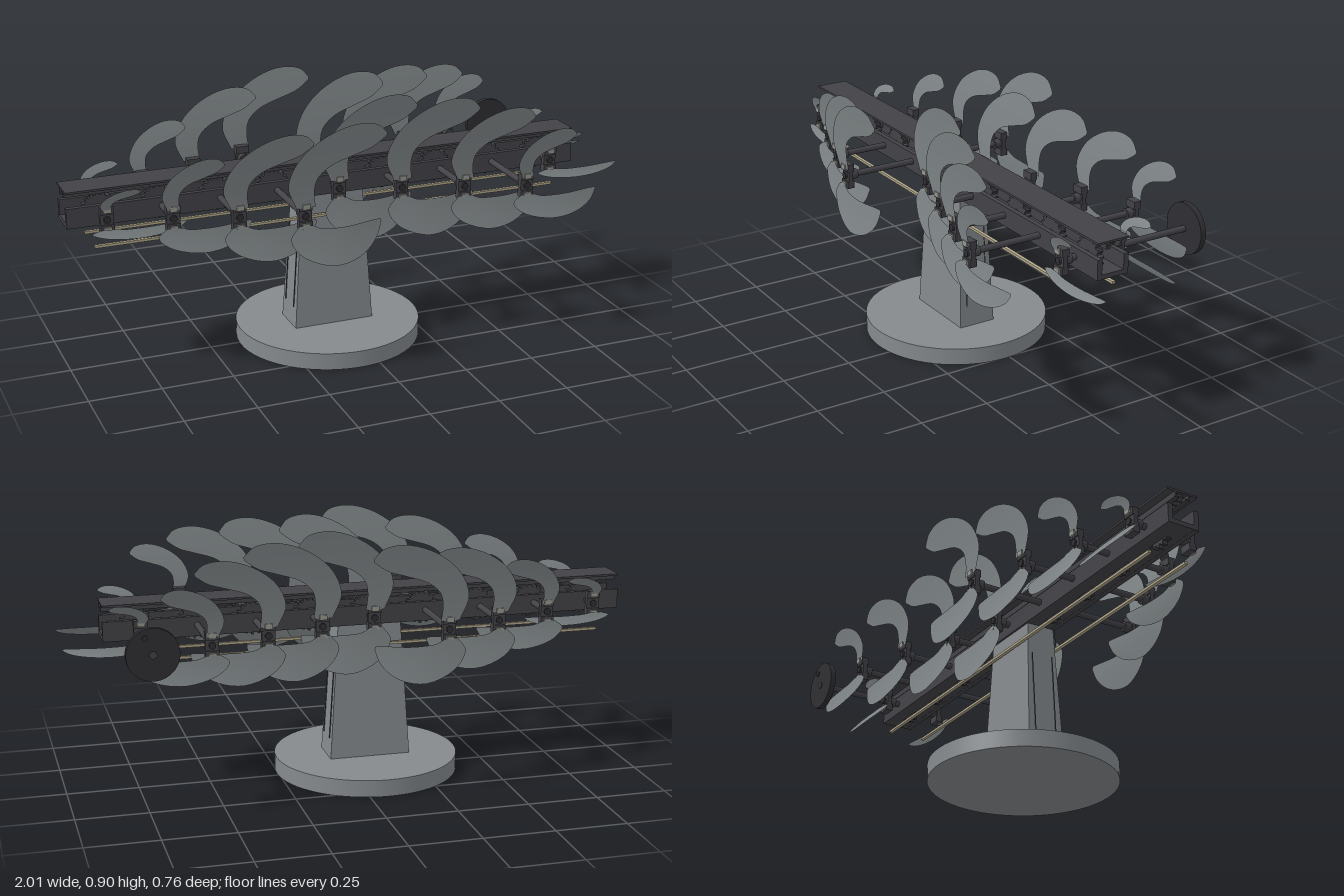
import * as THREE from 'three';

const mat = (name, color, extra = {}) => Object.assign(new THREE.MeshStandardMaterial({ color, ...extra }), { name });

export function createModel() {
  const grey = mat('standGrey', 0x858a8d);
  const fin = mat('bladeGrey', 0x7f8587, { side: THREE.DoubleSide });
  const dark = mat('frameDark', 0x434247);
  const black = mat('wheelBlack', 0x2f2f33);
  const brass = mat('rodBeige', 0xb0a68a);
  const clip = mat('clipGrey', 0x96978f);

  const root = new THREE.Group();
  root.name = 'kineticFinMachine';
  const ZC = 0.02, AXIS = 0.58; // centre plane and shaft height

  const add = (name, geo, material, x, y, z, parent = root) => {
    const m = new THREE.Mesh(geo, material);
    m.name = name;
    m.position.set(x, y, z);
    parent.add(m);
    return m;
  };
  const box = (name, m, w, h, d, x, y, z, parent) => add(name, new THREE.BoxGeometry(w, h, d), m, x, y, z, parent);
  const rod = (name, m, r, len, x, y, z, parent) =>
    add(name, new THREE.CylinderGeometry(r, r, len, r > 0.05 ? 48 : 14).rotateX(Math.PI / 2), m, x, y, z, parent);

  // Round foot
  add('base', new THREE.CylinderGeometry(0.326, 0.326, 0.06, 64), grey, -0.07, 0.03, ZC);

  // Tapered column
  const col = new THREE.BoxGeometry(0.29, 0.49, 0.138);
  const cp = col.attributes.position;
  for (let i = 0; i < cp.count; i++)
    if (cp.getY(i) > 0) { cp.setX(i, cp.getX(i) * 0.78); cp.setZ(i, cp.getZ(i) * 0.75); }
  col.computeVertexNormals();
  add('column', col, grey, -0.07, 0.3, ZC);
  for (const s of [-1, 1]) { // narrow seams on the column's ends
    for (const e of [-1, 1]) {
      const seam = box('columnSeam', dark, 0.003, 0.3, 0.002, -0.07 + e * 0.1325, 0.28, ZC + s * 0.04);
      seam.rotation.z = e * 0.065;
    }
  }

  // Channel beam: floor and two rails
  const L = 1.86, CX = -0.07;
  box('beamFloor', dark, L, 0.016, 0.1, CX, 0.55, ZC);
  for (const s of [-1, 1]) {
    box('beamRail', dark, L, 0.069, 0.018, CX, 0.576, ZC + s * 0.05);
    box('slideRod', brass, 1.69, 0.009, 0.012, -0.07, 0.473, ZC + s * 0.07);
  }

  // Sliding top plate with guides and toothed rack
  box('topPlate', dark, L, 0.007, 0.118, CX, 0.6635, ZC);
  for (const s of [-1, 1]) {
    box('rackGuide', dark, L, 0.02, 0.006, CX, 0.65, ZC + s * 0.026);
    box('rackGuideLip', dark, L, 0.005, 0.014, CX, 0.642, ZC + s * 0.02);
  }
  const rack = new THREE.Shape();
  const teeth = 74, pitch = 1.84 / teeth;
  rack.moveTo(-0.92, 0.02);
  for (let i = 0; i < teeth; i++) {
    const x = -0.92 + i * pitch;
    rack.lineTo(x, 0.012);
    rack.lineTo(x + pitch * 0.35, 0);
    rack.lineTo(x + pitch * 0.65, 0);
  }
  rack.lineTo(0.92, 0.012);
  rack.lineTo(0.92, 0.02);
  add('rack', new THREE.ExtrudeGeometry(rack, { depth: 0.02, bevelEnabled: false }), dark, CX, 0.64, ZC - 0.01);

  // Pinion gear
  const gearShape = new THREE.Shape();
  for (let i = 0; i < 64; i++) {
    const a = (i / 64) * Math.PI * 2, r = i % 4 < 2 ? 0.06 : 0.05;
    gearShape[i ? 'lineTo' : 'moveTo'](Math.cos(a) * r, Math.sin(a) * r);
  }
  const gearGeo = new THREE.ExtrudeGeometry(gearShape, { depth: 0.02, bevelEnabled: false });

  // Blade surface stretched between an inner and an outer edge, bowed outwards
  const curve = pts => new THREE.CatmullRomCurve3(pts.map(([x, y]) => new THREE.Vector3(x, y, 0)));
  const bladeGeo = (outer, inner, bow) => {
    const g = new THREE.PlaneGeometry(1, 1, 28, 6), p = g.attributes.position;
    const a = curve(outer), b = curve(inner);
    for (let i = 0; i < p.count; i++) {
      const q = b.getPoint(p.getX(i) + 0.5).lerp(a.getPoint(p.getX(i) + 0.5), p.getY(i) + 0.5);
      p.setXYZ(i, q.x, q.y, bow(q.x, q.y));
    }
    g.computeVertexNormals();
    return g;
  };
  const upperBlade = (h, w) => {
    const map = ([x, t]) => [x * w, 0.03 + (h - 0.03) * t];
    const outer = [[-0.12, 0], [-0.23, 0.3], [-0.1, 0.62], [0.22, 0.88], [0.6, 1], [0.88, 0.96], [1, 0.84]].map(map);
    const inner = [[0.12, 0], [0.1, 0.2], [0.14, 0.36], [0.3, 0.5], [0.58, 0.6], [0.82, 0.68], [0.99, 0.8]].map(map);
    return bladeGeo(outer, inner, (x, y) => 0.004 + 0.032 * Math.pow(Math.max(y, 0) / h, 1.6));
  };
  const lowerBlade = d => {
    const map = ([x, t]) => [x, -0.03 - (d - 0.03) * t];
    const outer = [[-0.025, 0], [-0.055, 0.3], [-0.02, 0.7], [0.09, 1], [0.19, 0.85], [0.245, 0.5], [0.265, 0.15]].map(map);
    const inner = [[0.02, 0], [0.05, 0.1], [0.1, 0.13], [0.15, 0.13], [0.2, 0.1], [0.24, 0.08], [0.262, 0.08]].map(map);
    return bladeGeo(outer, inner, (x, y) =>
      0.004 + 0.022 * Math.pow(Math.min(1, -y / d), 1.6) + 0.01 * Math.sin(Math.PI * Math.min(1, Math.max(0, (x + 0.05) / 0.31))));
  };

  // Nine cross shafts, each with a gear and a hub with two blades at either end
  const heights = [0.105, 0.2, 0.27, 0.305, 0.32];
  const widths = [0.11, 0.17, 0.25, 0.275, 0.275];
  const depths = [0.065, 0.12, 0.155, 0.175, 0.185];
  const reach = [0.11, 0.18, 0.25, 0.32];
  for (let i = 0; i < 9; i++) {
    const x = -0.88 + i * 0.2025, k = Math.min(i, 8 - i), r = reach[i % 4];
    const shaft = new THREE.Group();
    shaft.name = 'shaft' + (i + 1);
    shaft.position.set(x, AXIS, ZC);
    root.add(shaft);
    const back = i === 8 ? 0.385 : r;
    rod('axle', dark, 0.011, r + back, 0, 0, (r - back) / 2, shaft);
    add('gear', gearGeo, dark, 0, 0, -0.01, shaft);
    const up = upperBlade(heights[k], widths[k]), low = lowerBlade(depths[k]);
    for (const s of [1, -1]) {
      const hub = new THREE.Group();
      hub.name = s > 0 ? 'frontHub' : 'backHub';
      hub.position.z = s * r;
      hub.scale.z = s;
      shaft.add(hub);
      box('hubCore', dark, 0.046, 0.088, 0.016, 0, 0, 0, hub);
      rod('hubCollar', dark, 0.018, 0.04, 0, 0, -0.012, hub);
      rod('hubBolt', black, 0.012, 0.008, 0, 0, 0.011, hub);
      for (const v of [1, -1]) {
        box('hubJaw', dark, 0.046, 0.026, 0.026, 0, v * 0.031, 0, hub);
        box('bladeClip', clip, 0.026, 0.018, 0.007, 0, v * 0.034, 0.0165, hub);
      }
      add('upperBlade', up, fin, 0, 0, 0.01, hub);
      add('lowerBlade', low, fin, 0, 0, 0.01, hub);
    }
  }

  // Hand wheel behind the last shaft
  rod('handWheel', black, 0.088, 0.02, 0.74, AXIS, -0.363);
  rod('wheelCap', dark, 0.013, 0.006, 0.74, AXIS, -0.375);
  rod('wheelKnob', black, 0.01, 0.008, 0.765, 0.636, -0.374);
  return root;
}
